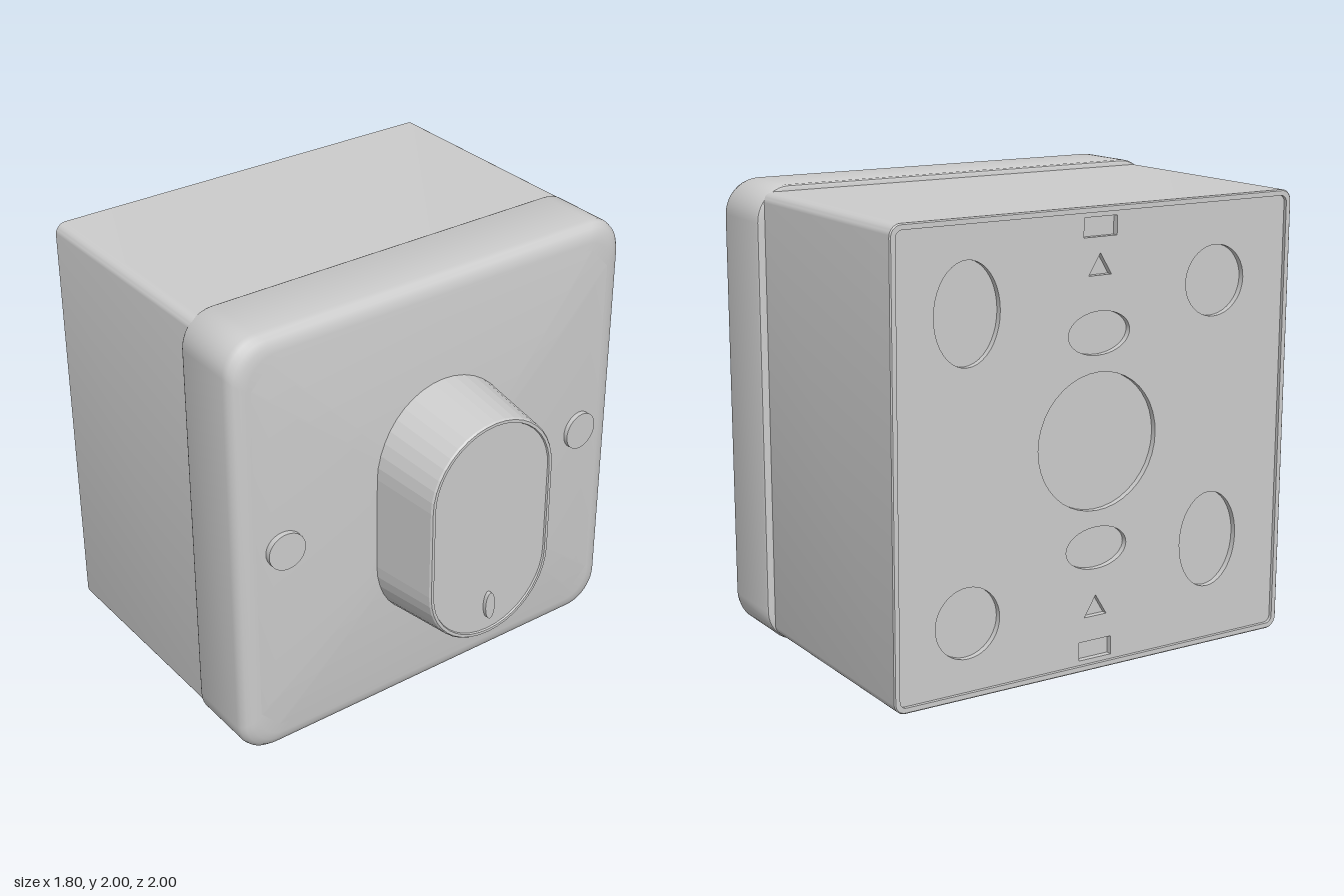
import * as THREE from 'three';
import { toCreasedNormals } from 'three/addons/utils/BufferGeometryUtils.js';

const CORNER = 10; // steps per rounded corner

// Rounded rectangle in the zy plane, as [z, y] pairs
function roundedLoop(hz, hy, r) {
  const pts = [];
  [[1, 1], [-1, 1], [-1, -1], [1, -1]].forEach(([sz, sy], q) => {
    for (let i = 0; i <= CORNER; i++) {
      const a = (q + i / CORNER) * Math.PI / 2;
      pts.push([sz * (hz - r) + r * Math.cos(a), sy * (hy - r) + r * Math.sin(a)]);
    }
  });
  return pts;
}

// Skin over rings [x, halfZ, halfY, radius]; x may be a function of (z, y)
function loft(rings, crease = 0.6) {
  const pos = [], idx = [];
  rings.forEach(([x, hz, hy, r]) => {
    for (const [z, y] of roundedLoop(hz, hy, r)) pos.push(typeof x === 'function' ? x(z, y) : x, y, z);
  });
  const n = 4 * (CORNER + 1);
  for (let i = 0; i < rings.length - 1; i++) {
    for (let j = 0; j < n; j++) {
      const k = (j + 1) % n, a = i * n, b = a + n;
      idx.push(a + j, b + j, a + k, a + k, b + j, b + k);
    }
  }
  const g = new THREE.BufferGeometry();
  g.setAttribute('position', new THREE.Float32BufferAttribute(pos, 3));
  g.setIndex(idx);
  return toCreasedNormals(g, crease);
}

export function createModel() {
  const group = new THREE.Group();
  const grey = new THREE.MeshStandardMaterial({ color: 0xcccccc });
  const flat = new THREE.MeshStandardMaterial({ color: 0xcccccc, flatShading: true });
  const add = (name, geo, x, y, z = 0, mat = grey) => {
    const m = new THREE.Mesh(geo, mat);
    m.name = name;
    m.position.set(x, y, z);
    group.add(m);
    return m;
  };

  // Wall box, with a thin rim round its recessed back
  add('backBox', loft([
    [-0.85, 0.94, 0.945, 0.03],
    [-0.9, 0.94, 0.945, 0.03],
    [-0.9, 0.96, 0.965, 0.045],
    [-0.895, 0.965, 0.97, 0.05],
    [0.17, 0.965, 0.97, 0.05],
  ]), 0, 1.005);

  // Back panel pierced by knockouts [z, y, radiusZ, radiusY], notches and slots
  const panel = new THREE.Shape();
  panel.moveTo(-0.94, 0.06).lineTo(0.94, 0.06).lineTo(0.94, 1.95).lineTo(-0.94, 1.95).closePath();
  const knockouts = [
    [-0.62, 1.6, 0.15, 0.21], [0.58, 0.5, 0.15, 0.21],
    [0.58, 1.62, 0.15, 0.15], [-0.62, 0.35, 0.15, 0.15],
    [0, 1.01, 0.29, 0.29],
    [0, 1.46, 0.15, 0.09], [0, 0.56, 0.15, 0.09],
  ];
  for (const [z, y, rz, ry] of knockouts) {
    panel.holes.push(new THREE.Path().absellipse(z, y, rz, ry, 0, Math.PI * 2, true));
  }
  for (const y of [1.73, 0.3]) {
    panel.holes.push(new THREE.Path().moveTo(-0.055, y - 0.035).lineTo(0, y + 0.055).lineTo(0.055, y - 0.035).closePath());
  }
  for (const y of [1.89, 0.12]) {
    panel.holes.push(new THREE.Path().moveTo(-0.08, y - 0.04).lineTo(-0.08, y + 0.04)
      .lineTo(0.08, y + 0.04).lineTo(0.08, y - 0.04).closePath());
  }
  const panelGeo = new THREE.ExtrudeGeometry(panel, { depth: 0.025, bevelEnabled: false, curveSegments: 20 });
  panelGeo.rotateY(-Math.PI / 2);
  add('backPanel', toCreasedNormals(panelGeo, 0.6), -0.86, 0);
  add('knockoutFloor', new THREE.BoxGeometry(0.02, 1.89, 1.88), -0.85, 1.005);

  // Cover frame with a softly rounded front edge
  add('coverFrame', loft([
    [0.155, 0.9, 0.9, 0.1],
    [0.155, 0.985, 0.985, 0.135],
    [0.16, 0.995, 0.995, 0.145],
    [0.17, 1, 1, 0.15],
    [0.45, 1, 1, 0.15],
    [0.475, 0.995, 0.995, 0.15],
    [0.495, 0.98, 0.98, 0.15],
    [0.508, 0.955, 0.955, 0.14],
    [0.514, 0.925, 0.925, 0.13],
    [0.514, 0, 0, 0],
  ]), 0, 1);

  // Gently domed front panel, sinking into the frame at its corners
  const dome = (z, y) => 0.575 - 0.042 * (z * z + y * y);
  const domeRings = [[0.48, 0.92, 0.888, 0.1]];
  for (let i = 12; i >= 0; i--) {
    const s = i / 12;
    domeRings.push([dome, 0.92 * s, 0.888 * s, 0.1 * s]);
  }
  add('domedPanel', loft(domeRings), 0, 1.005);

  // Screw covers on both sides
  for (const s of [1, -1]) {
    const disc = new THREE.CylinderGeometry(0.086, 0.086, 0.03, 32).rotateZ(-Math.PI / 2);
    const m = add('screwCover', disc, 0.538, 1.025, s * 0.787);
    m.rotation.y = -s * 0.066;
  }

  // Tapered turning knob with a shallow dished face
  add('knob', loft([
    [0.53, 0.352, 0.571, 0.352],
    [0.882, 0.318, 0.524, 0.318],
    [0.89, 0.312, 0.518, 0.312],
    [0.89, 0.299, 0.505, 0.299],
    [0.882, 0.296, 0.502, 0.296],
    [0.882, 0, 0, 0],
  ]), 0, 0.992, 0, flat);

  // Raised pointer mark on the knob
  const pointer = new THREE.CylinderGeometry(1, 1, 0.03, 24).rotateZ(-Math.PI / 2).scale(1, 0.066, 0.025);
  add('pointer', pointer, 0.885, 0.617);

  return group;
}
